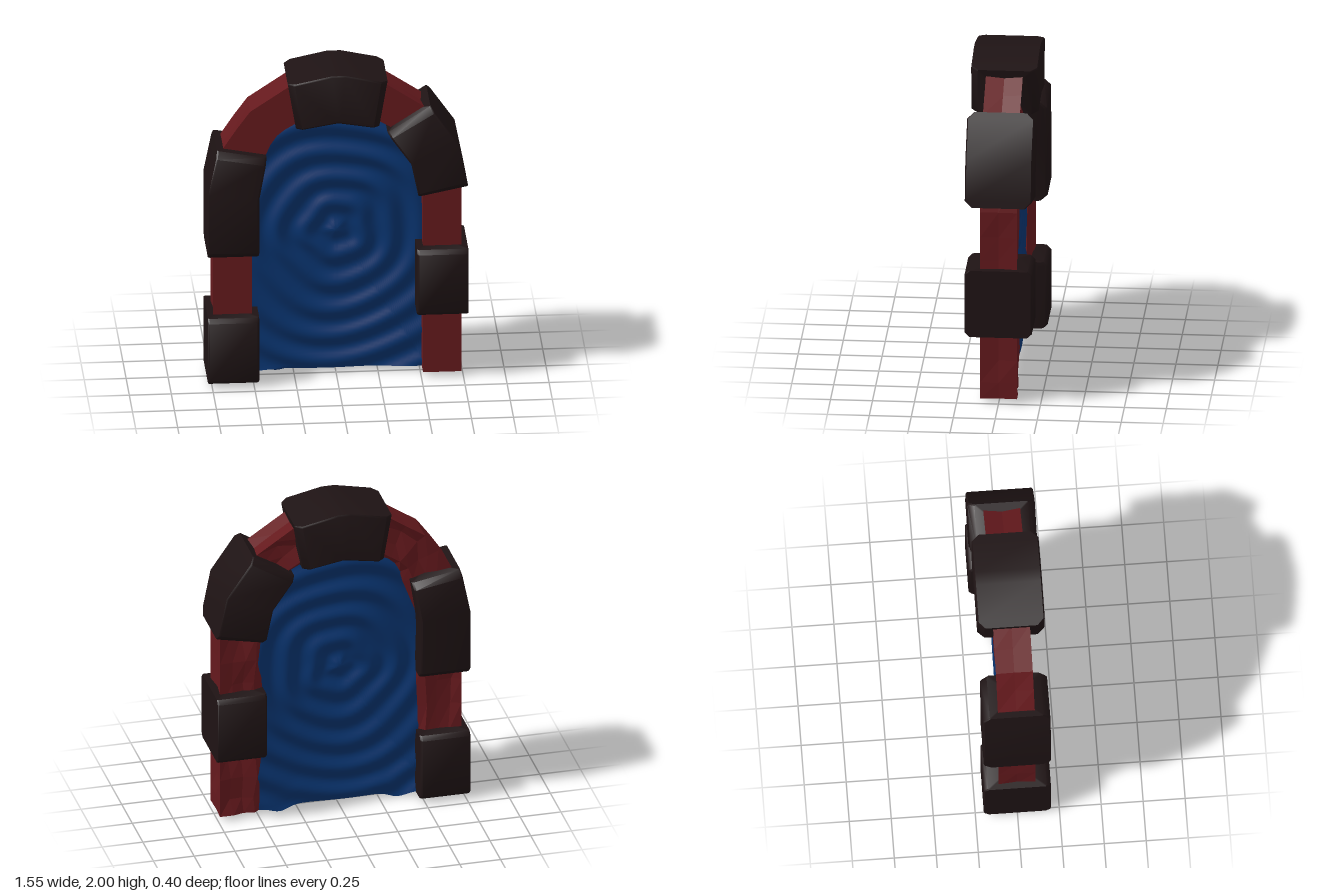
import * as THREE from 'three';
import { toCreasedNormals } from 'three/addons/utils/BufferGeometryUtils.js';

const stoneMat = new THREE.MeshStandardMaterial({ color: 0x1e1314 });
const brickMat = new THREE.MeshStandardMaterial({ color: 0x65191d, flatShading: true });
const waterMat = new THREE.MeshStandardMaterial({ color: 0x08336e });

const noise = (n) => { const s = Math.sin(n * 127.1 + 3.7) * 43758.55; return s - Math.floor(s); };

// Indexed geometry from equally long closed loops of points
function loft(rows) {
  const n = rows[0].length, index = [];
  for (let i = 0; i < rows.length - 1; i++) {
    for (let j = 0; j < n; j++) {
      const a = i * n + j, b = i * n + (j + 1) % n;
      index.push(a, a + n, b, b, a + n, b + n);
    }
  }
  const geo = new THREE.BufferGeometry();
  geo.setAttribute('position', new THREE.Float32BufferAttribute(rows.flat(2), 3));
  geo.setIndex(index);
  return geo;
}

// Sweep a cross-section along stations [outer x, outer y, inner x, inner y] and cap both ends.
// Section points are [u, z], u running from 0 at the inner side to 1 at the outer side.
function sweep(stations, sectionAt) {
  const rows = stations.map(([ox, oy, ix, iy], i) =>
    sectionAt(i).map(([u, z]) => [ix + (ox - ix) * u, iy + (oy - iy) * u, z]));
  const cap = (row) => row.map(() => [0, 1, 2].map((k) => row.reduce((s, p) => s + p[k], 0) / row.length));
  return loft([cap(rows[0]), ...rows, cap(rows[rows.length - 1])]);
}

// Half of the arch, foot to crown
const half = [
  [0.74, 0.03, 0.51, 0.03], [0.74, 0.13, 0.51, 0.13], [0.74, 0.27, 0.51, 0.27],
  [0.74, 0.41, 0.51, 0.41], [0.74, 0.6, 0.51, 0.6], [0.74, 0.76, 0.51, 0.76],
  [0.74, 0.9, 0.51, 0.9], [0.74, 1.05, 0.51, 1.05], [0.74, 1.21, 0.51, 1.21],
  [0.68, 1.52, 0.43, 1.46], [0.6, 1.64, 0.4, 1.53], [0.52, 1.75, 0.36, 1.59],
  [0.4, 1.83, 0.31, 1.63], [0.28, 1.91, 0.24, 1.67],
];
const archLine = [
  ...half, [0, 1.95, 0, 1.71],
  ...half.slice().reverse().map(([a, b, c, d]) => [-a, b, -c, d]),
];

// Red arch: flat square front, crumpled back that spreads inward behind the pool
function makeArch() {
  const section = [[0, 0.11], [0, -0.03], [-0.18, -0.08], [0, -0.11], [0.35, -0.11], [0.7, -0.11], [1, -0.11], [1, 0], [1, 0.11]];
  const geo = sweep(archLine, (i) => section.map(([u, z], j) => {
    const rough = noise(i * 9 + j);
    if (j === 2 || j === 3) return [u + rough * 0.1, z + rough * 0.01];
    if (j === 4 || j === 5) return [u + (rough - 0.5) * 0.15, z + rough * 0.035];
    return j === 7 ? [u - rough * 0.06, z] : [u, z];
  }));
  const mesh = new THREE.Mesh(geo, brickMat);
  mesh.name = 'redArch';
  return mesh;
}

// Stone block wrapped round the arch, chamfered at both ends
function makeStone(name, chamfer, line) {
  const section = [[0, 0.185], [0, -0.185], [0.04, -0.2], [0.97, -0.2], [1, -0.193], [1, 0.193], [0.97, 0.2], [0.04, 0.2]];
  const endSection = section.map(([u, z]) => [u, z * (1 - chamfer * 5)]);
  const inset = (from, to) => {
    const t = chamfer / Math.hypot(to[0] - from[0], to[1] - from[1]);
    return from.map((v, k) => v + (to[k] - v) * t);
  };
  const last = line.length - 1;
  const stations = [
    line[0], inset(line[0], line[1]), ...line.slice(1, last),
    inset(line[last], line[last - 1]), line[last],
  ];
  const geo = sweep(stations, (i) => (i === 0 || i === stations.length - 1 ? endSection : section));
  const mesh = new THREE.Mesh(toCreasedNormals(geo, 0.8), stoneMat);
  mesh.name = name;
  return mesh;
}

// Rippled pool: loops from the front centre, round the rim, to the back centre
function makePool() {
  const cy = 0.93, rings = 48;
  const edge = archLine.map(([ox, oy, ix, iy]) =>
    new THREE.Vector2(ix * 0.88 + ox * 0.12, iy * 0.88 + oy * 0.12));
  const rim = new THREE.Shape([...edge, edge[0]]).getSpacedPoints(200).slice(0, -1);
  const point = (p, t, side) => {
    const x = p.x * t, y = (p.y - cy) * t;
    const angle = Math.atan2(y, x), r = Math.hypot(x, y);
    const wobble = r + 0.01 * Math.min(1, r * 5) * (Math.sin(5 * angle + 1) + Math.sin(3 * angle + r * 6));
    const wave = 0.013 * Math.cos(wobble * 2 * Math.PI / 0.17);
    // two drips along the lower back edge
    const drip = side < 0 && p.y < 0.05
      ? 0.03 * Math.exp(-(((Math.abs(p.x) - 0.36) / 0.07) ** 2)) * t ** 8 : 0;
    return [x, cy + y - drip, -0.033 + side * (0.033 + wave)];
  };
  const rows = [];
  for (let i = 0; i <= rings; i++) rows.push(rim.map((p) => point(p, i / rings, 1)));
  for (let i = rings; i >= 0; i--) rows.push(rim.map((p) => point(p, i / rings, -1)));
  const mesh = new THREE.Mesh(toCreasedNormals(loft(rows), 1), waterMat);
  mesh.name = 'rippledPool';
  return mesh;
}

export function createModel() {
  const model = new THREE.Group();
  model.name = 'stonePortal';
  model.add(
    makeArch(),
    makePool(),
    makeStone('lowerLeftStone', 0.025, [[0.775, 0.43, 0.47, 0.43], [0.775, 0.85, 0.47, 0.85]]),
    makeStone('upperLeftStone', 0.04, [[0.775, 1.25, 0.48, 1.19], [0.72, 1.53, 0.435, 1.41], [0.55, 1.775, 0.295, 1.61]]),
    makeStone('keystone', 0.04, [[0.295, 1.945, 0.245, 1.65], [0.04, 2, 0.01, 1.69], [-0.04, 2, -0.01, 1.69], [-0.3, 1.945, -0.25, 1.65]]),
    makeStone('upperRightStone', 0.04, [[-0.72, 1.525, -0.425, 1.47], [-0.775, 1.25, -0.47, 1.215], [-0.775, 0.835, -0.47, 0.835]]),
    makeStone('lowerRightStone', 0.025, [[-0.775, 0.445, -0.47, 0.445], [-0.775, 0.025, -0.47, 0.025]]),
  );
  return model;
}
